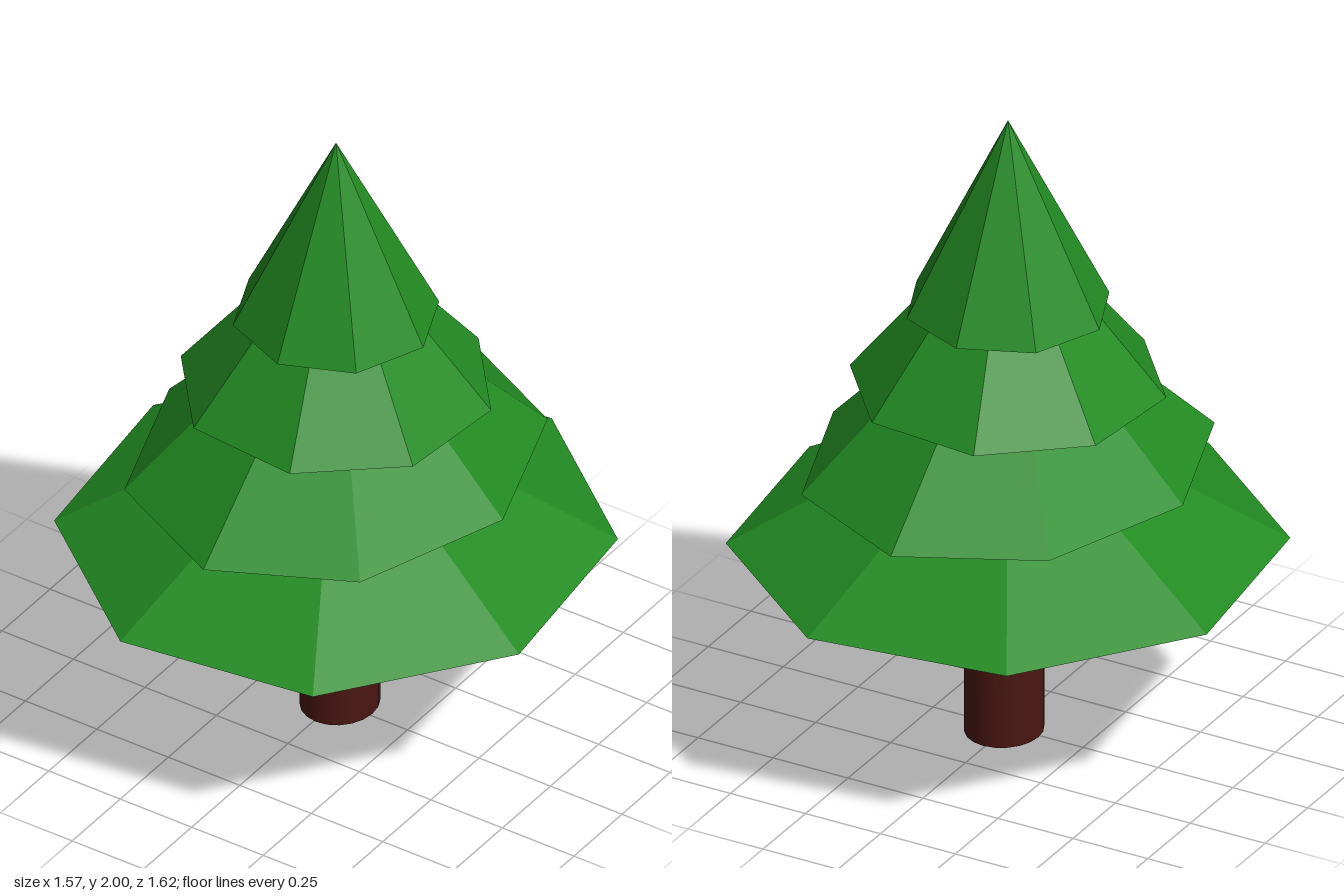
import * as THREE from 'three';

// Eight-sided foliage tiers: base height, apex height, x and z radius, twist in degrees
const TIERS = [
  { name: 'bottomFoliage', base: 0.615, apex: 1.093, rx: 0.813, rz: 0.837, twist: -15 },
  { name: 'lowerFoliage', base: 0.885, apex: 1.5, rx: 0.583, rz: 0.69, twist: 0 },
  { name: 'upperFoliage', base: 1.14, apex: 1.72, rx: 0.47, rz: 0.47, twist: 17.3 },
  { name: 'topFoliage', base: 1.39, apex: 2, rx: 0.305, rz: 0.305, twist: 0 },
];

// Trunk rings, bottom to top: height, centre x, centre z, x radius, z radius
const RINGS = [
  [0, 0.007, -0.01, 0.114, 0.125],
  [0.36, 0.006, -0.01, 0.114, 0.125],
  [0.49, -0.004, -0.003, 0.114, 0.132],
  [0.63, 0.008, -0.01, 0.114, 0.125],
  [0.75, 0.008, -0.01, 0.114, 0.125],
];

function makeTier({ name, base, apex, rx, rz, twist }, material) {
  const height = apex - base;
  const geometry = new THREE.ConeGeometry(1, height, 8, 1, false, THREE.MathUtils.degToRad(twist));
  geometry.scale(rx, 1, rz);
  geometry.translate(0, base + height / 2, 0);
  const mesh = new THREE.Mesh(geometry, material);
  mesh.name = name;
  return mesh;
}

// Slightly crooked trunk: each ring of a unit cylinder is moved and sized
function makeTrunk(material) {
  const last = RINGS.length - 1;
  const geometry = new THREE.CylinderGeometry(1, 1, 1, 20, last);
  const p = geometry.attributes.position;
  for (let i = 0; i < p.count; i++) {
    const [y, cx, cz, rx, rz] = RINGS[Math.round((p.getY(i) + 0.5) * last)];
    p.setXYZ(i, cx + p.getX(i) * rx, y, cz + p.getZ(i) * rz);
  }
  const mesh = new THREE.Mesh(geometry, material);
  mesh.name = 'trunk';
  return mesh;
}

export function createModel() {
  const group = new THREE.Group();
  group.name = 'pineTree';
  const green = new THREE.MeshStandardMaterial({ color: 0x228b22, flatShading: true });
  const brown = new THREE.MeshStandardMaterial({ color: 0x4a1712 });
  group.add(makeTrunk(brown));
  for (const tier of TIERS) group.add(makeTier(tier, green));
  return group;
}
